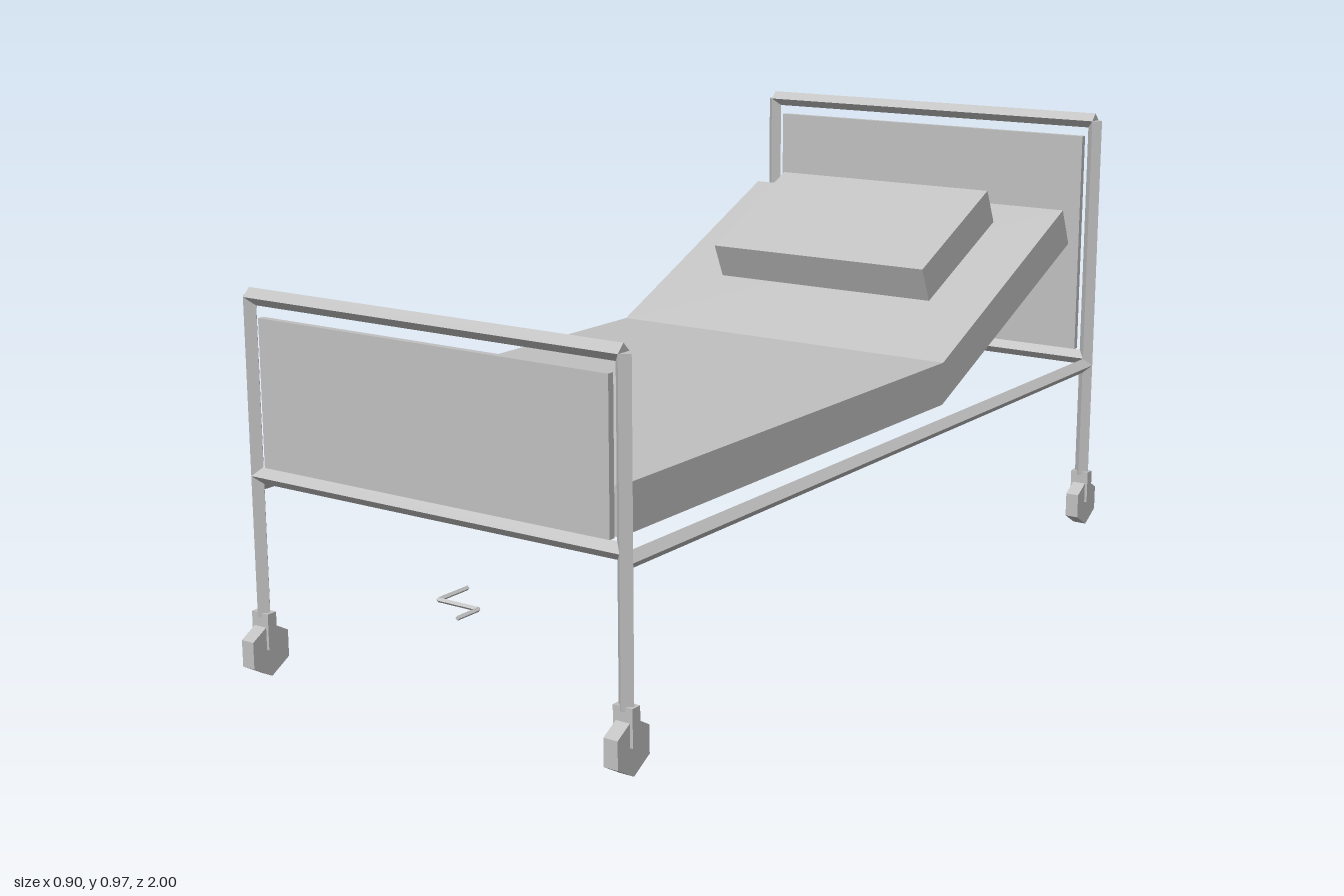
import * as THREE from 'three';

export function createModel() {
  const bed = new THREE.Group();
  bed.name = 'adjustableBed';
  const grey = new THREE.MeshStandardMaterial({ color: 0xc0c0c0 });
  grey.name = 'light grey';
  grey.flatShading = true;

  const add = (name, geometry, x = 0, y = 0, z = 0) => {
    const mesh = new THREE.Mesh(geometry, grey);
    mesh.name = name;
    mesh.position.set(x, y, z);
    bed.add(mesh);
    return mesh;
  };

  // Four-sided bar standing on its corner, running between two points
  const bar = (name, from, to, radius = 0.0165) => {
    const a = new THREE.Vector3(...from), b = new THREE.Vector3(...to);
    const dir = b.clone().sub(a);
    const g = new THREE.CylinderGeometry(radius, radius, dir.length(), 4);
    const mesh = add(name, g);
    mesh.position.copy(a).add(b).multiplyScalar(0.5);
    mesh.quaternion.setFromUnitVectors(new THREE.Vector3(0, 1, 0), dir.normalize());
  };

  // Side outline given as [z, y] points, extruded across the bed
  const slab = (name, outline, halfWidth) => {
    const shape = new THREE.Shape(outline.map(([z, y]) => new THREE.Vector2(-z, y)));
    const g = new THREE.ExtrudeGeometry(shape, { depth: halfWidth * 2, bevelEnabled: false });
    g.translate(0, 0, -halfWidth);
    g.rotateY(Math.PI / 2);
    add(name, g);
  };

  const postX = 0.43, headZ = -0.951, footZ = 0.857;

  // Head and foot frames, with panels, posts and castors
  for (const [end, z, top, panelTop] of [['head', headZ, 0.95, 0.913], ['foot', footZ, 0.743, 0.705]]) {
    bar(end + 'TopRail', [-postX, top, z], [postX, top, z]);
    bar(end + 'LowerRail', [-postX, 0.4, z], [postX, 0.4, z]);
    add(end + 'Panel', new THREE.BoxGeometry(0.806, panelTop - 0.418, 0.014), 0, (panelTop + 0.418) / 2, z);
    for (const x of [-postX, postX]) {
      bar(end + 'Post', [x, 0.12, z], [x, top, z]);
      add('castorFork', new THREE.BoxGeometry(0.042, 0.072, 0.022), x, 0.092, z);
      // Six-sided wheel with a corner at the top
      const wheel = new THREE.CylinderGeometry(0.0535, 0.0535, 0.03, 6);
      wheel.rotateY(Math.PI / 2);
      wheel.rotateZ(Math.PI / 2);
      wheel.computeBoundingBox();
      if (wheel.boundingBox.max.y < 0.05) wheel.rotateX(Math.PI / 6);
      add('castorWheel', wheel, x, 0.0535, z);
    }
  }

  // Long side rails
  for (const x of [-postX, postX]) bar('sideRail', [x, 0.383, headZ], [x, 0.383, footZ]);

  // Mattress with raised back, and pillow
  slab('mattress', [[0.843, 0.418], [-0.291, 0.418], [-0.877, 0.676],
    [-0.842, 0.757], [-0.291, 0.508], [0.843, 0.508]], 0.409);
  slab('pillow', [[-0.479, 0.593], [-0.775, 0.727], [-0.741, 0.802], [-0.446, 0.667]], 0.27);

  // Crank handle at the foot end
  const crank = [[0.089, 0.275, 0.865], [0.089, 0.275, 0.944], [0.18, 0.275, 0.944], [0.18, 0.275, 1]];
  for (let i = 0; i < 3; i++) bar('crank', crank[i], crank[i + 1], 0.0045);

  return bed;
}
